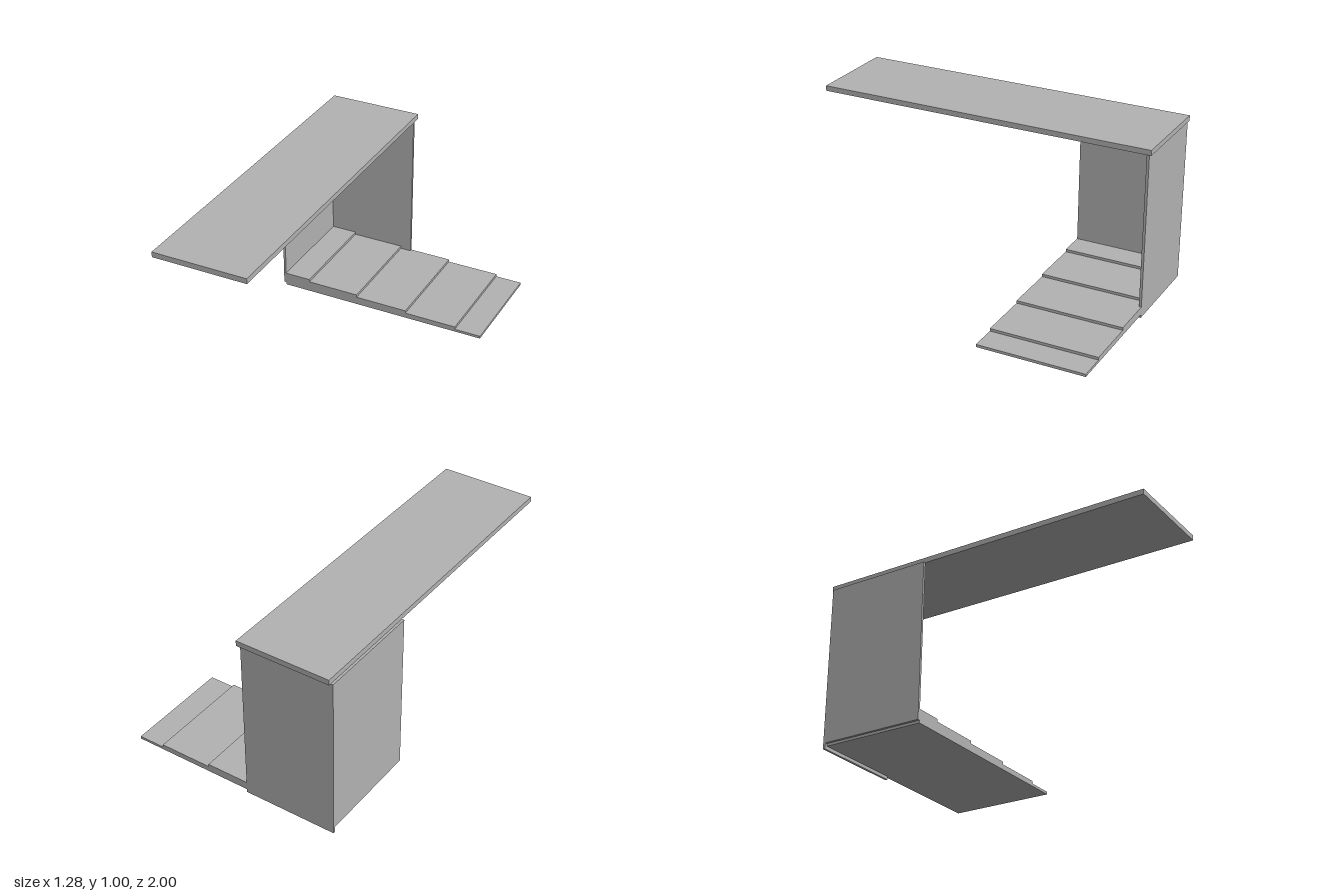
import * as THREE from 'three';

export function createModel() {
  const model = new THREE.Group();
  const grey = new THREE.MeshStandardMaterial({ color: 0xb2b2b2 });
  grey.name = 'plain grey';

  const add = (name, geometry) => {
    const mesh = new THREE.Mesh(geometry, grey);
    mesh.name = name;
    model.add(mesh);
  };
  // Box given by its limits on each axis
  const slab = (name, [x0, x1], [y0, y1], [z0, z1]) => add(name,
    new THREE.BoxGeometry(x1 - x0, y1 - y0, z1 - z0)
      .translate((x0 + x1) / 2, (y0 + y1) / 2, (z0 + z1) / 2));

  const back = -0.985, front = -0.354;

  // Long cantilevered roof and the two thin walls below it
  slab('roof', [-0.628, -0.075], [0.969, 1], [-1, 1]);
  slab('backWall', [-0.642, -0.089], [0, 0.969], [back, -0.97]);
  slab('sideWall', [-0.642, -0.628], [0.034, 0.969], [-0.97, front]);

  // Shallow stepped base, extruded from its side profile
  const bottom = 0.019, left = -0.628, rise = 0.0158;
  const stepEnds = [-0.47, -0.154, 0.165, 0.48, 0.638];
  const profile = new THREE.Shape();
  profile.moveTo(left, bottom);
  profile.lineTo(stepEnds[4], bottom);
  for (let i = 4; i >= 0; i--) {
    const top = bottom + rise * (5 - i);
    profile.lineTo(stepEnds[i], top);
    profile.lineTo(i > 0 ? stepEnds[i - 1] : left, top);
  }
  profile.closePath();
  add('steppedBase', new THREE.ExtrudeGeometry(profile, { depth: front - back, bevelEnabled: false })
    .translate(0, 0, back));

  return model;
}
